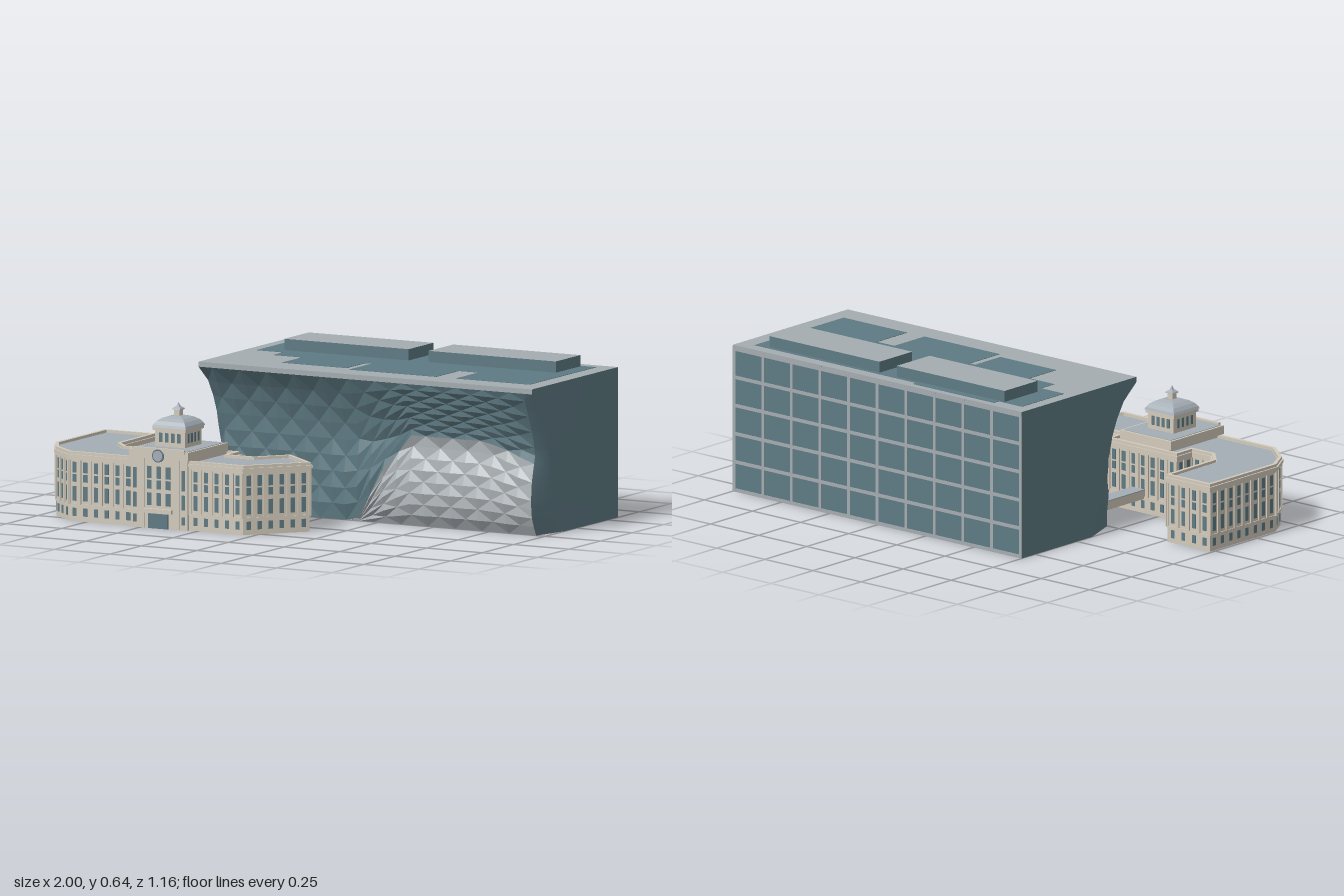
import * as THREE from 'three';
import { mergeGeometries, mergeVertices } from 'three/addons/utils/BufferGeometryUtils.js';

const material = (name, color, side = THREE.FrontSide) => {
  const m = new THREE.MeshStandardMaterial({ color, side });
  m.name = name;
  return m;
};

// Piecewise linear lookup in a list of [key, value] points
function lookup(points, t) {
  for (let i = 1; i < points.length; i++) {
    const [a, va] = points[i - 1], [b, vb] = points[i];
    if (t <= b) return va + (vb - va) * Math.max(0, (t - a) / (b - a));
  }
  return points[points.length - 1][1];
}

function box(x0, x1, y0, y1, z0, z1) {
  const g = new THREE.BoxGeometry(x1 - x0, y1 - y0, z1 - z0);
  return g.translate((x0 + x1) / 2, (y0 + y1) / 2, (z0 + z1) / 2);
}

// Upright prism over a ground outline of [x, z] points, optionally with a hole
function prism(outline, y0, y1, hole) {
  const toVec = (pts) => pts.map(([x, z]) => new THREE.Vector2(x, z));
  const shape = new THREE.Shape(toVec(outline));
  if (hole) shape.holes.push(new THREE.Path(toVec(hole)));
  const g = new THREE.ExtrudeGeometry(shape, { depth: y1 - y0, bevelEnabled: false });
  return g.rotateX(Math.PI / 2).translate(0, y1, 0);
}

function edgeNormal([ax, az], [bx, bz]) {
  const l = Math.hypot(bx - ax, bz - az);
  return [(bz - az) / l, -(bx - ax) / l];
}

// Outline moved outward by d with mitred corners
function offset(pts, d) {
  return pts.map((p, i) => {
    const n = pts.length;
    const [ux, uz] = edgeNormal(pts[(i + n - 1) % n], p);
    const [vx, vz] = edgeNormal(p, pts[(i + 1) % n]);
    const k = d / (1 + ux * vx + uz * vz);
    return [p[0] + (ux + vx) * k, p[1] + (uz + vz) * k];
  });
}

// Faceted or smooth-shaded geometry from a list of triangle corners
function triangles(positions, smooth = false) {
  const flat = new THREE.BufferGeometry();
  flat.setAttribute('position', new THREE.Float32BufferAttribute(positions, 3));
  const g = smooth ? mergeVertices(flat) : flat;
  g.computeVertexNormals();
  return g;
}

export function createModel() {
  const model = new THREE.Group();
  const stone = material('stone', 0xd2cabb);
  const roofGray = material('roof gray', 0xa5adb5);
  const teal = material('teal glass', 0x5e7a83, THREE.DoubleSide);
  const concrete = material('concrete', 0xa4acb0);
  const paleGlass = material('pale glass', 0xafb5b9, THREE.DoubleSide);

  const add = (name, mat, ...geos) => {
    const list = geos.map((g) => (g.index && geos.length > 1 ? g.toNonIndexed() : g));
    const mesh = new THREE.Mesh(list.length > 1 ? mergeGeometries(list) : list[0], mat);
    mesh.name = name;
    model.add(mesh);
  };

  // ---- Glass hall: faceted front, its rows following the crest of the pale bulge
  const TOP = 0.575, BACK = -0.575, COLS = 25, LOW = 8, ROWS = 17;
  const crest = [[0.16, 0], [0.3, 0.23], [0.41, 0.36], [0.75, 0.36], [0.95, 0.29], [1, 0.27]];
  const leftProfile = [[0, 0], [0.3, 0], [0.4, 0.01], [0.5, 0.045], [0.575, 0.105]];
  const rightProfile = [[0, 0], [0.06, 0.032], [0.13, 0.042], [0.22, 0.034], [0.32, 0.008],
    [0.4, 0.028], [0.5, 0.07], [0.575, 0.105]];
  // How far the two outer edges of the front turn back towards the end walls
  const curl = [[0, 0.16], [0.15, 0.11], [0.3, 0.06], [0.5, 0.03], [0.575, 0]];
  const columnX = (i) => (i === COLS ? 1 : -0.5 + (1.46 * i) / (COLS - 1));

  function frontPoint(i, j) {
    const x = columnX(i), b = lookup(crest, x);
    const y = j <= LOW ? (b * j) / LOW : b + ((TOP - b) * (j - LOW)) / (ROWS - LOW);
    const t = THREE.MathUtils.smoothstep(x, -0.1, 0.4);
    let z = THREE.MathUtils.lerp(lookup(leftProfile, y), lookup(rightProfile, y), t);
    if (i === 0 || i === COLS) z -= lookup(curl, y);
    const inside = i > 0 && i < COLS - 1 && y > 0.01 && j < ROWS;
    if (inside && (i + j) % 2) z += 0.009;
    return [x, y, z];
  }

  const tealFacets = [], paleFacets = [];
  for (let i = 0; i < COLS - 1; i++) {
    for (let j = 0; j < ROWS; j++) {
      if (j < LOW && lookup(crest, columnX(i + 1)) < 0.001) continue;
      const a = frontPoint(i, j), b = frontPoint(i + 1, j);
      const c = frontPoint(i + 1, j + 1), d = frontPoint(i, j + 1);
      const target = j < LOW ? paleFacets : tealFacets;
      if ((i + j) % 2) target.push(...a, ...b, ...d, ...b, ...c, ...d);
      else target.push(...a, ...b, ...c, ...a, ...c, ...d);
    }
  }
  add('facetedFront', teal, triangles(tealFacets));
  add('paleBulge', paleGlass, triangles(paleFacets));

  // End walls follow the front profile; the left one sweeps round its front corner
  const rightWall = [], leftWall = [];
  for (let j = 0; j < ROWS; j++) {
    const atBack = ([x, y]) => [x, y, BACK];
    const r0 = frontPoint(0, j), r1 = frontPoint(0, j + 1);
    if (j >= LOW) rightWall.push(...atBack(r0), ...r0, ...r1, ...atBack(r0), ...r1, ...atBack(r1));
    const f0 = frontPoint(COLS - 1, j), f1 = frontPoint(COLS - 1, j + 1);
    const l0 = frontPoint(COLS, j), l1 = frontPoint(COLS, j + 1);
    leftWall.push(...f0, ...l0, ...l1, ...f0, ...l1, ...f1);
    leftWall.push(...l0, ...atBack(l0), ...atBack(l1), ...l0, ...atBack(l1), ...l1);
  }
  add('rightEndWall', teal, triangles(rightWall));
  add('leftEndWall', teal, triangles(leftWall, true));

  // Back glazing with its grid of mullions
  add('backGlazing', teal, box(-0.5, 1, 0, TOP, BACK - 0.004, BACK));
  const mullions = [];
  for (let i = 0; i <= 10; i++) {
    const x = -0.493 + 0.1486 * i;
    mullions.push(box(x - 0.007, x + 0.007, 0, 0.592, -0.581, BACK));
  }
  for (let j = 0; j <= 5; j++) {
    const y = 0.007 + 0.1145 * j;
    mullions.push(box(-0.5, 1, y - 0.007, y + 0.007, -0.581, BACK));
  }
  add('backMullions', concrete, ...mullions);

  // Flat roof, glass roof panels and rooftop plant rooms
  const roof = new THREE.Mesh(box(-0.5, 1, TOP, 0.595, -0.58, 0.105),
    [teal, teal, concrete, teal, concrete, concrete]);
  roof.name = 'hallRoof';
  model.add(roof);
  const panels = [[-0.45, -0.33, -0.52, -0.27], [-0.33, 0.09, -0.55, -0.19], [-0.2, 0.09, -0.19, -0.03],
    [0.09, 0.93, -0.53, -0.18], [0.12, 0.51, -0.18, 0], [0.6, 0.93, -0.18, 0]];
  add('roofPanels', teal, ...panels.map(([x0, x1, z0, z1]) => box(x0, x1, 0.594, 0.5965, z0, z1)));
  for (const [x0, x1] of [[-0.355, 0.205], [0.295, 0.867]]) {
    const room = new THREE.Mesh(box(x0, x1, 0.595, 0.641, -0.515, -0.32),
      [teal, teal, concrete, teal, teal, teal]);
    room.name = 'plantRoom';
    model.add(room);
  }

  // ---- Old stone building: bent wings around a centre block, hollow below the first floor
  const FLOOR = 0.125;
  const outline = [[-0.99, -0.02], [-0.77, -0.02], [-0.765, 0.26], [-0.705, 0.325], [-0.595, 0.325],
    [-0.595, 0.235], [-0.245, 0.235], [-0.245, 0.325], [-0.125, 0.325], [-0.03, 0.21],
    [0.135, 0.345], [-0.045, 0.555], [-0.285, 0.55], [-0.54, 0.55], [-0.83, 0.55], [-0.935, 0.465], [-0.99, 0.37]];
  add('stoneWalls', stone, prism(outline, FLOOR, 0.25), prism(outline, 0, FLOOR, offset(outline, -0.004)));
  add('baseLedge', stone, prism(offset(outline, 0.004), 0.06, 0.068, offset(outline, -0.002)));
  add('cornice', stone, prism(offset(outline, 0.006), 0.242, 0.252),
    prism(offset(outline, 0.01), 0.252, 0.264, offset(outline, -0.012)),
    prism(offset(outline, 0.004), 0.264, 0.275, offset(outline, -0.01)));
  add('wingRoof', roofGray, prism(offset(outline, -0.009), 0.25, 0.264));

  // Windows and pilasters along every wall
  const panes = [], pilasters = [];
  outline.forEach((p, i) => {
    const q = outline[(i + 1) % outline.length];
    const [nx, nz] = edgeNormal(p, q);
    const count = Math.max(1, Math.round(Math.hypot(q[0] - p[0], q[1] - p[1]) / 0.05));
    const place = (g, t) => g.rotateY(Math.atan2(nx, nz))
      .translate(p[0] + (q[0] - p[0]) * t, 0, p[1] + (q[1] - p[1]) * t);
    for (let k = 0; k <= count; k++) {
      pilasters.push(place(box(-0.006, 0.006, 0.065, 0.245, 0, 0.005), k / count));
      if (k === count) continue;
      for (const [y0, y1] of [[0.02, 0.052], [0.08, 0.138], [0.155, 0.185], [0.192, 0.234]])
        panes.push(place(box(-0.009, 0.009, y0, y1, -0.003, 0.002), (k + 0.5) / count));
    }
  });
  add('wingWindows', teal, ...panes);
  add('pilasters', stone, ...pilasters);

  // Centre block with parapet, entrance, balcony and clock
  const CX = -0.418;
  add('centreBlock', stone, box(-0.54, -0.29, FLOOR, 0.3, 0.252, 0.565), box(-0.54, -0.29, 0, FLOOR, 0.548, 0.565),
    box(-0.55, -0.285, 0.275, 0.309, 0.252, 0.57), box(-0.53, -0.3, 0.3, 0.318, 0.56, 0.572),
    box(-0.51, -0.482, 0, 0.285, 0.56, 0.569), box(-0.354, -0.326, 0, 0.285, 0.56, 0.569));
  add('centreRoof', roofGray, box(-0.54, -0.295, 0.3, 0.311, 0.262, 0.56));
  const centrePanes = [];
  for (const dx of [-0.042, 0, 0.042])
    for (const [y0, y1] of [[0.09, 0.14], [0.155, 0.19], [0.197, 0.245]])
      centrePanes.push(box(CX + dx - 0.01, CX + dx + 0.01, y0, y1, 0.56, 0.567));
  for (const x of [-0.526, -0.307])
    for (const [y0, y1] of [[0.02, 0.052], [0.08, 0.138], [0.155, 0.236]])
      centrePanes.push(box(x - 0.007, x + 0.007, y0, y1, 0.56, 0.567));
  add('centreWindows', teal, ...centrePanes);
  add('entranceDoor', teal, box(-0.462, -0.374, 0, 0.058, 0.567, 0.573));
  add('balcony', stone, box(-0.482, -0.354, 0.062, 0.078, 0.56, 0.58));
  const disc = (r, z) => new THREE.CylinderGeometry(r, r, 0.006, 24)
    .rotateX(Math.PI / 2).translate(CX, 0.288, z);
  add('clockRim', teal, disc(0.026, 0.571));
  add('clockFace', roofGray, disc(0.021, 0.573));

  // Square tower with vaulted dome, lantern and spike
  const TZ = 0.41;
  const tower = (h, y0, y1) => box(CX - h, CX + h, y0, y1, TZ - h, TZ + h);
  add('tower', stone, tower(0.067, 0.3, 0.376), tower(0.074, 0.374, 0.388));
  const towerPanes = [];
  for (let s = 0; s < 4; s++)
    for (const dx of [-0.04, -0.013, 0.013, 0.04])
      towerPanes.push(box(dx - 0.007, dx + 0.007, 0.328, 0.365, 0.064, 0.069)
        .rotateY((s * Math.PI) / 2).translate(CX, 0, TZ));
  add('towerWindows', teal, ...towerPanes);
  const square = (profile) => new THREE.LatheGeometry(
    profile.map(([h, y]) => new THREE.Vector2(h * Math.SQRT2, y)), 4, Math.PI / 4).toNonIndexed();
  const dome = square([[0.077, 0.386], [0.073, 0.396], [0.062, 0.41], [0.046, 0.421], [0.026, 0.428], [0, 0.43]]);
  const spike = square([[0.019, 0.452], [0.017, 0.457], [0.006, 0.466], [0, 0.482]]);
  for (const g of [dome, spike]) g.translate(CX, 0, TZ).computeVertexNormals();
  add('dome', roofGray, dome);
  add('lantern', stone, tower(0.013, 0.425, 0.452));
  add('spike', roofGray, spike);

  // Link bridge between the two buildings
  add('linkBridge', stone, box(-0.43, -0.365, 0.06, 0.094, -0.02, 0.24));
  add('linkBridgeRoof', roofGray, box(-0.43, -0.365, 0.094, 0.098, -0.02, 0.24));

  return model;
}
